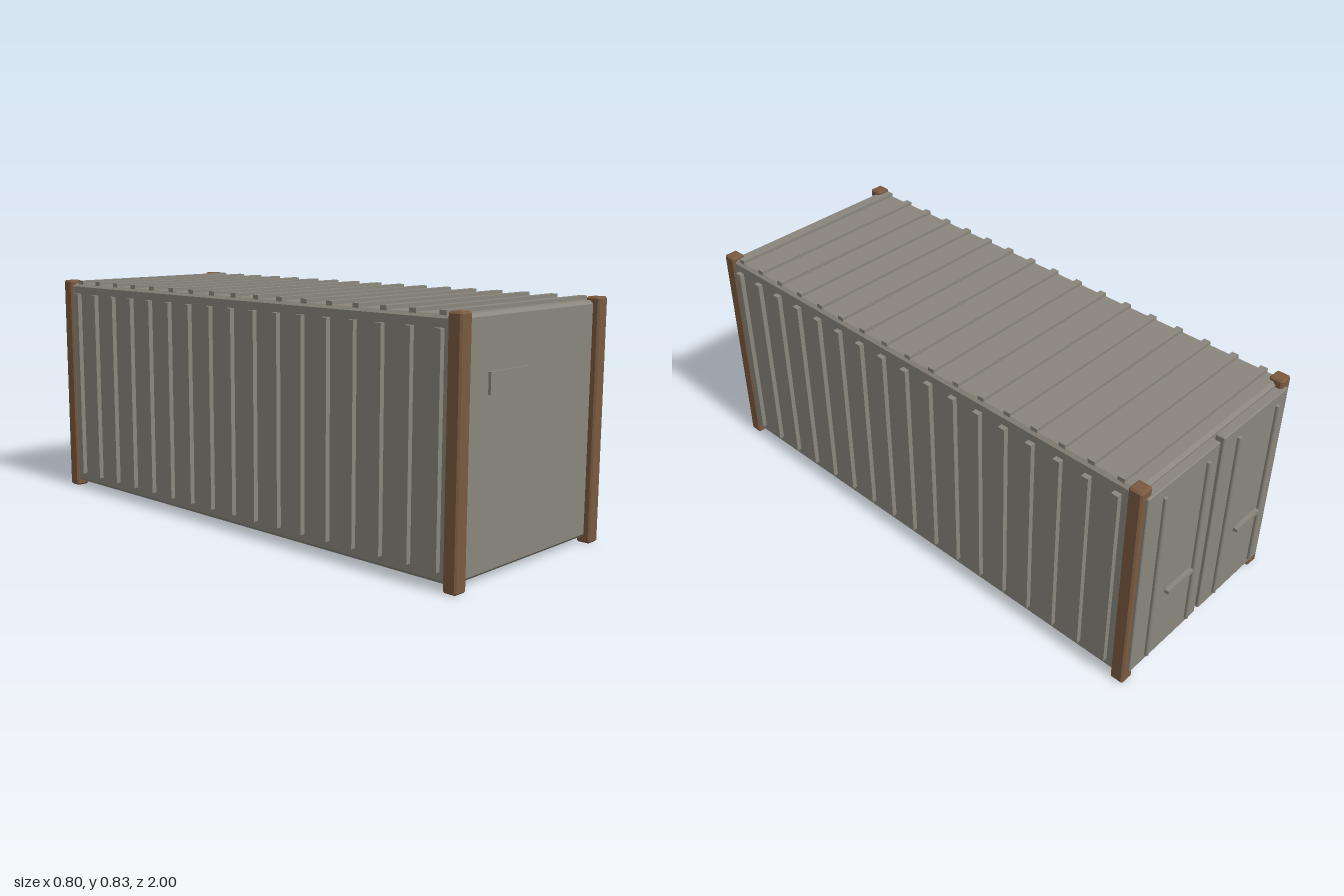
import * as THREE from 'three';
import { ConvexGeometry } from 'three/addons/geometries/ConvexGeometry.js';

const grey = new THREE.MeshStandardMaterial({ color: 0x8a867d });
grey.name = 'weathered grey';
const brown = new THREE.MeshStandardMaterial({ color: 0x7a5a40 });
brown.name = 'rust brown';

// Box with every edge cut at 45 degrees by c
function chamferBox(w, h, d, c) {
  const points = [];
  for (const sx of [-1, 1]) for (const sy of [-1, 1]) for (const sz of [-1, 1]) {
    const x = w / 2, y = h / 2, z = d / 2;
    points.push(
      new THREE.Vector3(sx * x, sy * (y - c), sz * (z - c)),
      new THREE.Vector3(sx * (x - c), sy * y, sz * (z - c)),
      new THREE.Vector3(sx * (x - c), sy * (y - c), sz * z)
    );
  }
  return new ConvexGeometry(points);
}

export function createModel() {
  const model = new THREE.Group();
  model.name = 'shippingContainer';

  function add(name, geometry, material, x, y, z) {
    const mesh = new THREE.Mesh(geometry, material);
    mesh.name = name;
    mesh.position.set(x, y, z);
    model.add(mesh);
  }

  const midZ = 0.0225; // the door hardware pushes the body forward

  // Main body
  add('body', chamferBox(0.766, 0.796, 1.91, 0.011), grey, 0, 0.42, midZ);

  // Corner posts
  const post = chamferBox(0.053, 0.828, 0.05, 0.006);
  for (const sx of [-1, 1]) for (const sz of [-1, 1]) {
    add('cornerPost', post, brown, sx * 0.367, 0.416, midZ + sz * 0.9525);
  }

  // Corrugation ribs on both sides and the roof
  const sideRib = new THREE.BoxGeometry(0.03, 0.72, 0.026);
  const roofRib = new THREE.BoxGeometry(0.75, 0.024, 0.026);
  for (let i = 0; i < 17; i++) {
    const z = 0.027 + (i - 8) * 0.1116;
    for (const sx of [-1, 1]) add('sideRib', sideRib, grey, sx * 0.386, 0.42, z);
    add('roofRib', roofRib, grey, 0, 0.818, z);
  }

  // Rear doors with locking rods and handles
  const door = chamferBox(0.36, 0.75, 0.036, 0.003);
  const rod = new THREE.CylinderGeometry(0.0075, 0.0075, 0.685, 8);
  const handle = new THREE.BoxGeometry(0.132, 0.014, 0.016);
  for (const sx of [-1, 1]) {
    add('door', door, grey, sx * 0.19, 0.425, -0.946);
    for (const x of [0.081, 0.299]) add('lockingRod', rod, grey, sx * x, 0.4275, -0.975);
    add('doorHandle', handle, grey, sx * 0.19, 0.357, -0.992);
  }

  // Blank plate on the front wall
  add('frontPlate', new THREE.BoxGeometry(0.197, 0.068, 0.009), grey, -0.1285, 0.609, 0.982);

  return model;
}
